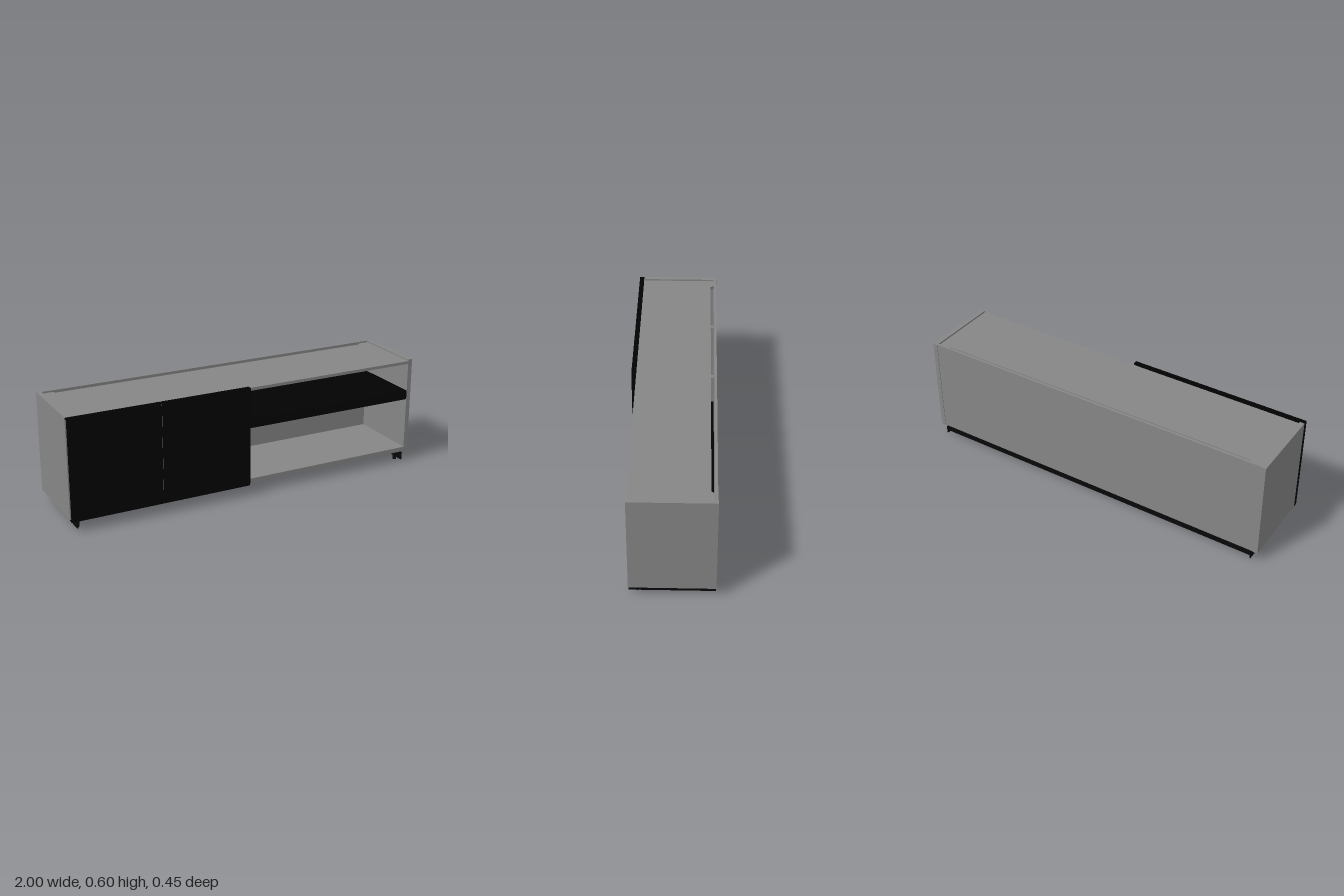
import * as THREE from 'three';

const grey = new THREE.MeshStandardMaterial({ color: 0x868686 });
const black = new THREE.MeshStandardMaterial({ color: 0x020202 });
const baseBlack = new THREE.MeshStandardMaterial({ color: 0x080808 });

// Box given by its minimum and maximum on each axis
function slab(parent, name, [x0, x1], [y0, y1], [z0, z1], material) {
  const mesh = new THREE.Mesh(new THREE.BoxGeometry(x1 - x0, y1 - y0, z1 - z0), material);
  mesh.position.set((x0 + x1) / 2, (y0 + y1) / 2, (z0 + z1) / 2);
  mesh.name = name;
  parent.add(mesh);
}

function group(parent, name) {
  const g = new THREE.Group();
  g.name = name;
  parent.add(g);
  return g;
}

function foot(parent, x, z, top) {
  const mesh = new THREE.Mesh(new THREE.CylinderGeometry(0.01, 0.01, top, 16), baseBlack);
  mesh.position.set(x, top / 2, z);
  mesh.name = 'foot';
  parent.add(mesh);
}

export function createModel() {
  const model = new THREE.Group();
  model.name = 'mediaCabinet';
  const back = -0.224, front = 0.198, low = 0.058, high = 0.596, inner = 0.975;

  // Carcass: sides, slightly inset back, bottom and dividers
  const carcass = group(model, 'carcass');
  slab(carcass, 'rightSide', [-1, -inner], [low, high], [back, front], grey);
  slab(carcass, 'leftSide', [inner, 1], [low, high], [back, front], grey);
  slab(carcass, 'backPanel', [-inner, inner], [low, high], [back + 0.003, -0.207], grey);
  slab(carcass, 'bottomPanel', [-inner, inner], [low, 0.083], [-0.207, front], grey);
  slab(carcass, 'middleDivider', [-0.04, -0.016], [0.083, 0.571], [-0.207, front], grey);
  slab(carcass, 'cupboardDivider', [-0.52, -0.496], [0.083, 0.571], [-0.207, front], grey);

  // Top board, slightly sunk, with a cable slot cut into its back edge
  const outline = new THREE.Shape([
    [-inner, -front], [inner, -front], [inner, 0.207], [0.92, 0.207],
    [0.905, 0.19], [-0.905, 0.19], [-0.92, 0.207], [-inner, 0.207],
  ].map(([x, y]) => new THREE.Vector2(x, y)));
  const topGeometry = new THREE.ExtrudeGeometry(outline, { depth: 0.016, bevelEnabled: false });
  const top = new THREE.Mesh(topGeometry.rotateX(-Math.PI / 2), grey);
  top.position.y = 0.571;
  top.name = 'topPanel';
  carcass.add(top);

  // Folded sheet shelf in the open bay
  const shelf = group(model, 'shelf');
  slab(shelf, 'shelfPlate', [-0.016, inner], [0.41, 0.417], [-0.207, front], black);
  slab(shelf, 'shelfLip', [-0.016, inner], [0.367, 0.41], [front - 0.007, front], black);

  // Doors: thin sheets with top and bottom edges folded back
  for (const [x0, x1] of [[-1, -0.509], [-0.505, -0.015]]) {
    const door = group(model, 'door');
    slab(door, 'doorFace', [x0, x1], [low, high], [0.217, 0.223], black);
    slab(door, 'doorTopFold', [x0, x1], [high - 0.007, high], [front, 0.217], black);
    slab(door, 'doorBottomFold', [x0, x1], [low, low + 0.006], [front, 0.217], black);
  }
  const lock = new THREE.Mesh(new THREE.CylinderGeometry(0.004, 0.004, 0.002, 16), black);
  lock.rotation.x = Math.PI / 2;
  lock.position.set(-0.467, 0.563, 0.224);
  lock.name = 'doorLock';
  model.add(lock);

  // Base: angle-section end beams with mounting plates and feet, joined by two long rails
  const base = group(model, 'base');
  for (const s of [-1, 1]) {
    const span = (a, b) => (s > 0 ? [a, b] : [-b, -a]);
    slab(base, 'endBeamWeb', span(0.96, 0.966), [0.009, 0.052], [back, front], baseBlack);
    slab(base, 'endBeamFlange', span(0.934, 0.96), [0.046, 0.052], [back, front], baseBlack);
    slab(base, 'mountingPlate', span(0.93, 0.985), [0.052, low], [-0.2, 0.17], baseBlack);
    for (const z of [-0.182, -0.014, 0.154]) foot(base, 0.949 * s, z, 0.046);
  }
  for (const z of [-0.2, 0.045]) {
    slab(base, 'longRail', [-0.96, 0.96], [0.015, 0.052], [z - 0.011, z + 0.011], baseBlack);
  }
  foot(base, 0.002, -0.014, low);

  return model;
}
